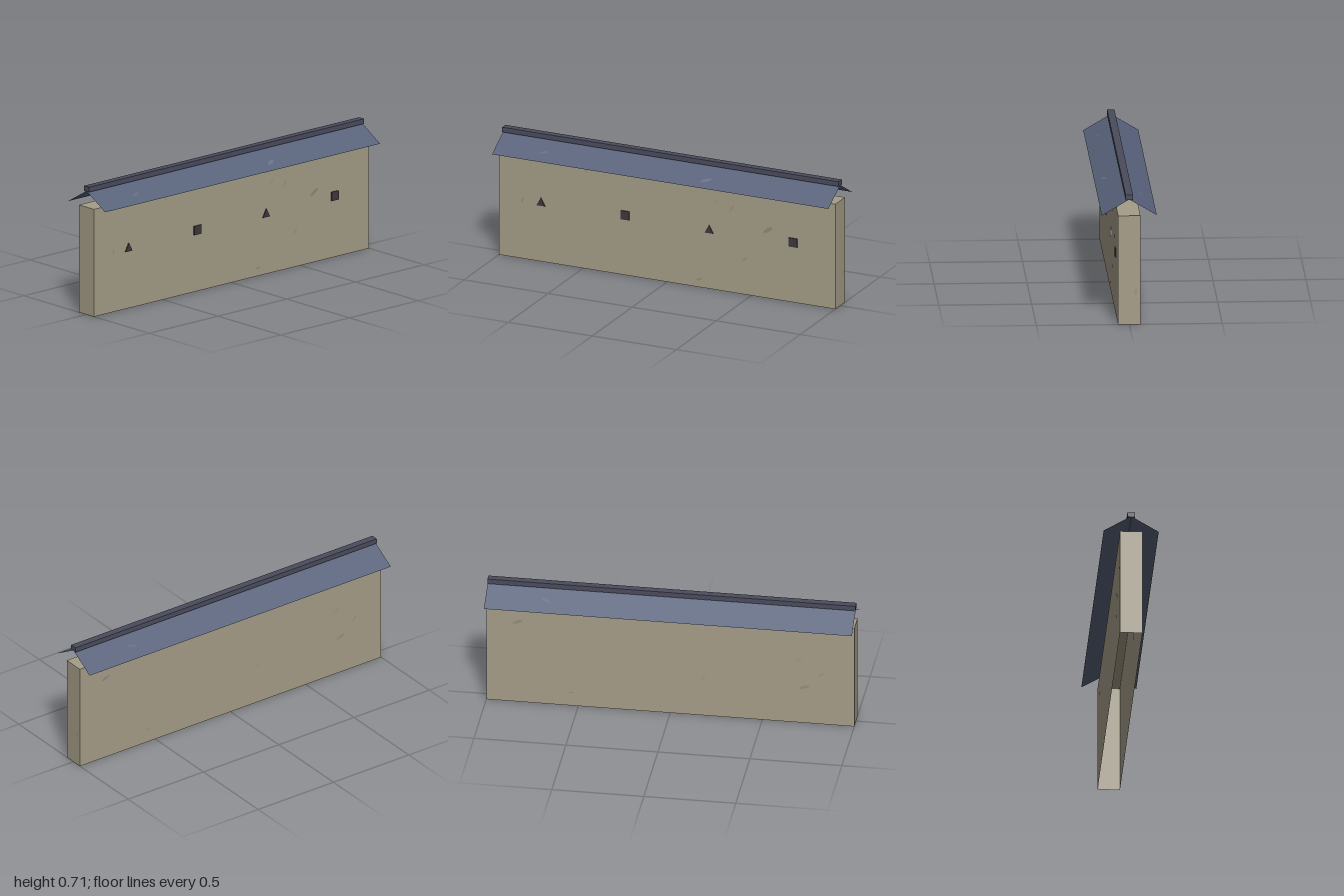
import * as THREE from 'three';

const material = (color) => new THREE.MeshStandardMaterial({ color, side: THREE.DoubleSide, flatShading: true });

export function createModel() {
  const model = new THREE.Group();
  const add = (name, geometry, mat, parent = model) => {
    const mesh = new THREE.Mesh(geometry, mat);
    mesh.name = name;
    parent.add(mesh);
    return mesh;
  };

  // Hollow wall, open underneath: drop the bottom face of a box
  const wallGeometry = new THREE.BoxGeometry(2, 0.6, 0.12);
  const faces = Array.from(wallGeometry.index.array);
  faces.splice(18, 6);
  wallGeometry.setIndex(faces);
  wallGeometry.clearGroups();
  add('wall', wallGeometry, material(0xa59d88)).position.y = 0.3;

  // Two thin roof slopes meeting under the ridge
  const eaveZ = 0.148, eaveY = 0.602, topY = 0.69;
  const slope = Math.atan2(topY - eaveY, eaveZ);
  const roofMaterial = material(0x58627a);
  for (const side of [1, -1]) {
    const geometry = new THREE.PlaneGeometry(2, Math.hypot(eaveZ, topY - eaveY));
    geometry.rotateX(-Math.PI / 2 + slope);
    if (side < 0) geometry.rotateY(Math.PI);
    const roof = add(side > 0 ? 'frontRoofSlope' : 'backRoofSlope', geometry, roofMaterial);
    roof.position.set(0, (eaveY + topY) / 2, side * eaveZ / 2);
  }

  // Ridge cap
  add('ridgeCap', new THREE.BoxGeometry(2, 0.028, 0.04), material(0x4a4c5c)).position.y = 0.701;

  // Raised loopholes on the front, alternating triangle and square
  const triangle = new THREE.Shape([[-0.025, -0.023], [0.025, -0.023], [0, 0.023]].map((p) => new THREE.Vector2(...p)));
  const holeMaterial = material(0x3e383e);
  for (let i = 0; i < 4; i++) {
    const geometry = i % 2
      ? new THREE.BoxGeometry(0.05, 0.05, 0.006).translate(0, 0, 0.003)
      : new THREE.ExtrudeGeometry(triangle, { depth: 0.006, bevelEnabled: false });
    add(i % 2 ? 'squareLoophole' : 'triangleLoophole', geometry, holeMaterial)
      .position.set(-0.75 + i * 0.5, 0.342, 0.06);
  }

  // Small flat weathering spots: position on the face, half length, tilt, colour
  const spots = (name, list, place) => {
    const group = new THREE.Group();
    group.name = name;
    for (const [u, v, size, tilt, color] of list) {
      const geometry = new THREE.CircleGeometry(1, 10).scale(size, size * 0.32, 1).rotateZ(tilt);
      place(add('spot', geometry, material(color), group), u, v);
    }
    model.add(group);
  };
  spots('frontSpots', [
    [-0.475, 0.57, 0.025, 1.1, 0x9c9480], [-0.86, 0.335, 0.015, 1.4, 0x958d7a],
    [0.29, 0.51, 0.018, 0.8, 0xa39478], [0.385, 0.48, 0.025, 1, 0xa3936f],
    [0.6, 0.39, 0.032, 0.6, 0x94877c], [0.46, 0.2, 0.022, 0.7, 0x9b937c],
    [0.19, 0.045, 0.018, 0.3, 0x988b70],
  ], (m, u, v) => m.position.set(u, v, 0.0615));
  spots('backSpots', [
    [0.83, 0.49, 0.028, 0.4, 0x958a7b], [0.54, 0.08, 0.012, 0.2, 0x958a7b],
    [-0.18, 0.23, 0.02, 0.9, 0x9f9782], [-0.7, 0.385, 0.028, 0.7, 0xa09884],
    [-0.94, 0.39, 0.025, 1, 0xa39b86], [-0.73, 0.22, 0.03, 0.3, 0x978f7b],
    [-0.82, 0.3, 0.02, 0.8, 0x9c9480],
  ], (m, u, v) => { m.position.set(u, v, -0.0615); m.rotation.y = Math.PI; });
  spots('endSpots', [[-0.035, 0.18, 0.02, 1.4, 0x9a927f]],
    (m, u, v) => { m.position.set(1.001, v, u); m.rotation.y = Math.PI / 2; });
  spots('roofSpots', [
    [-0.72, 0.09, 0.025, 0.3, 0x6d6b78], [0.25, 0.1, 0.032, 0.5, 0x66728a], [0.67, -0.08, 0.028, -0.4, 0x66677a],
  ], (m, u, z) => {
    m.position.set(u, topY - Math.abs(z) * Math.tan(slope) + 0.0015, z);
    m.rotation.set(-Math.PI / 2 + Math.sign(z) * slope, 0, 0);
  });

  return model;
}
